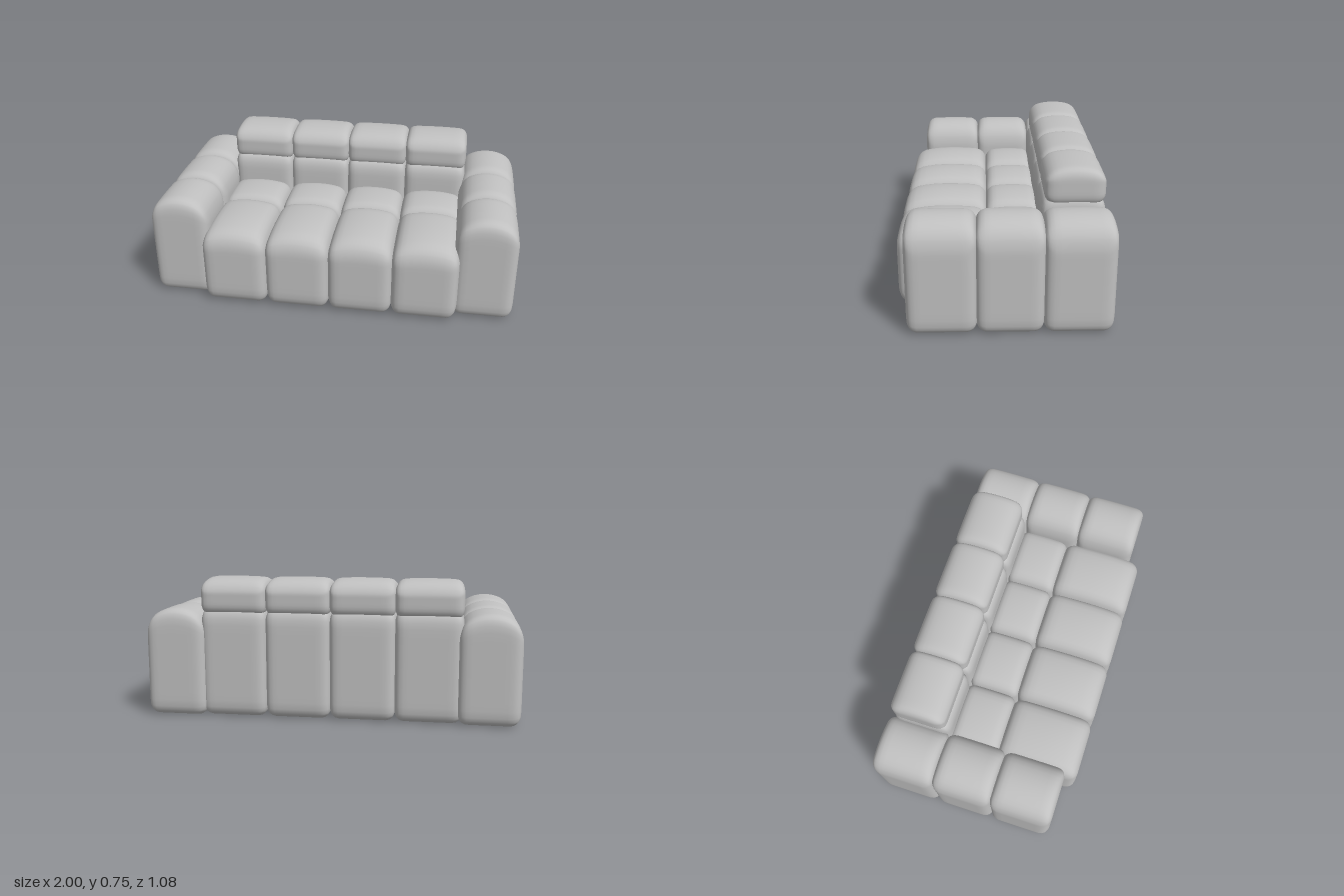
import * as THREE from 'three';
import { mergeVertices } from 'three/addons/utils/BufferGeometryUtils.js';

const SEG = 16;

// Puffy block between min and max corners. r = corner radius per axis;
// crown = how far the top arches down towards the x sides, front and back.
function puff(min, max, r, crown) {
  const half = min.map((m, i) => (max[i] - m) / 2);
  const mid = min.map((m, i) => (max[i] + m) / 2);
  let geo = new THREE.BoxGeometry(2, 2, 2, SEG, SEG, SEG);
  geo.deleteAttribute('uv');
  geo.deleteAttribute('normal');
  geo = mergeVertices(geo);
  const pos = geo.attributes.position;
  const arch = (t) => 1 - Math.sqrt(Math.max(0, 1 - 0.97 * t * t));
  for (let v = 0; v < pos.count; v++) {
    // rounded box with points gathered near the edges
    const p = [pos.getX(v), pos.getY(v), pos.getZ(v)].map((s, i) => Math.sin(s * Math.PI / 2) * half[i]);
    const core = p.map((c, i) => THREE.MathUtils.clamp(c, r[i] - half[i], half[i] - r[i]));
    const d = p.map((c, i) => (c - core[i]) / r[i]);
    const len = Math.hypot(...d) || 1;
    const q = core.map((c, i) => c + (d[i] / len) * r[i]);
    // arch the upper half
    const up = Math.max(0, q[1] / half[1]);
    const u = q[0] / half[0], w = q[2] / half[2];
    const drop = crown[0] * arch(u) + (w > 0 ? crown[1] : crown[2]) * arch(w);
    q[1] -= drop * up;
    pos.setXYZ(v, q[0] + mid[0], q[1] + mid[1], q[2] + mid[2]);
  }
  geo.computeVertexNormals();
  return geo;
}

export function createModel() {
  const sofa = new THREE.Group();
  sofa.name = 'sofa';
  const fabric = new THREE.MeshStandardMaterial({ color: 0xc0c0c0 });
  fabric.name = 'grey fabric';

  const add = (name, ...args) => {
    const mesh = new THREE.Mesh(puff(...args), fabric);
    mesh.name = name;
    sofa.add(mesh);
  };

  // Four columns of seat, back and headrest cushions
  const xs = [-0.7, -0.345, 0, 0.345, 0.7];
  for (let i = 0; i < 4; i++) {
    const a = xs[i] - (i > 0 ? 0.004 : 0), b = xs[i + 1] + (i < 3 ? 0.004 : 0);
    add('frontSeat' + (i + 1), [a, 0, 0.075], [b, 0.457, 0.54], [0.055, 0.085, 0.065], [0.06, 0.06, 0.03]);
    add('rearSeat' + (i + 1), [a, 0, -0.21], [b, 0.445, 0.085], [0.055, 0.07, 0.05], [0.05, 0.03, 0.02]);
    add('backrest' + (i + 1), [a, 0, -0.52], [b, 0.605, -0.19], [0.05, 0.07, 0.06], [0.015, 0.03, 0.03]);
    add('headrest' + (i + 1), [a, 0.55, -0.517], [b, 0.75, -0.208], [0.045, 0.06, 0.06], [0.01, 0.06, 0.06]);
  }

  // Three arched blocks on each arm
  const zs = [-0.54, -0.195, 0.132, 0.475];
  for (const side of [-1, 1]) {
    for (let i = 0; i < 3; i++) {
      const x = side < 0 ? [-1, -0.67] : [0.67, 1];
      add((side < 0 ? 'rightArm' : 'leftArm') + (i + 1),
        [x[0], 0, zs[i] - (i > 0 ? 0.004 : 0)], [x[1], 0.587, zs[i + 1] + (i < 2 ? 0.004 : 0)],
        [0.055, 0.07, 0.055], [0.12, 0.01, 0.01]);
    }
  }
  return sofa;
}
